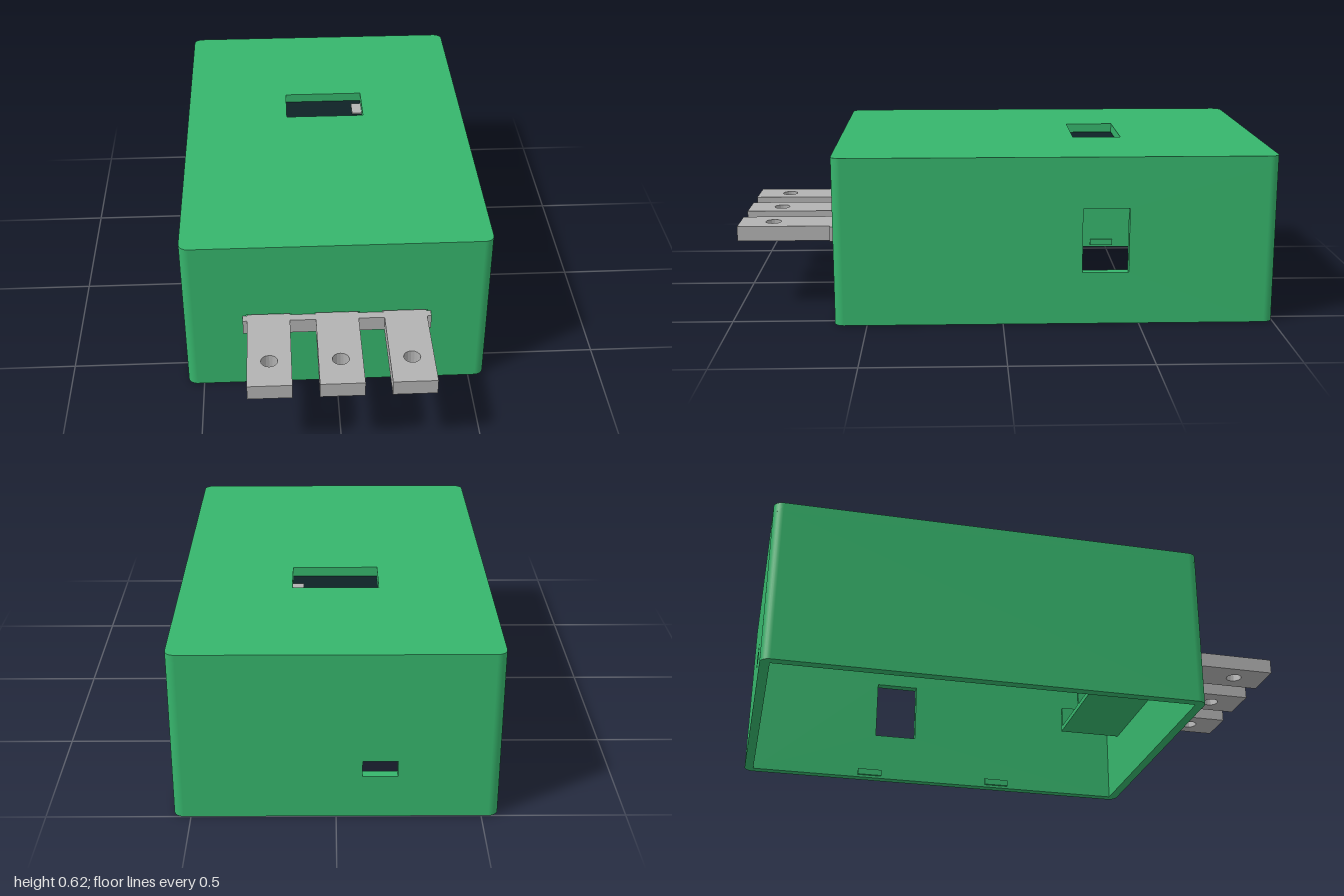
import * as THREE from 'three';

const green = new THREE.MeshStandardMaterial({ name: 'green case', color: 0x36b56c });
const grey = new THREE.MeshStandardMaterial({ name: 'grey terminal', color: 0xb2b2b2 });
const dark = new THREE.MeshStandardMaterial({ name: 'dark display', color: 0x0e2226 });

// Case extents and wall thickness
const X = 0.56, BACK = -1, FRONT = 0.62, H = 0.625, T = 0.035;
const roofY = H - T;

function rect(Type, x0, x1, y0, y1) {
  const p = new Type();
  p.moveTo(x0, y0);
  p.lineTo(x1, y0);
  p.lineTo(x1, y1);
  p.lineTo(x0, y1);
  p.closePath();
  return p;
}

function extrude(shape, depth) {
  return new THREE.ExtrudeGeometry(shape, { depth, bevelEnabled: false, curveSegments: 8 });
}

// Wall panel with rectangular openings, each [x0, x1, y0, y1]
function panel(x0, x1, openings) {
  const shape = rect(THREE.Shape, x0, x1, 0, roofY);
  openings.forEach(o => shape.holes.push(rect(THREE.Path, ...o)));
  return extrude(shape, T);
}

function add(parent, name, geometry, material, x = 0, y = 0, z = 0) {
  const mesh = new THREE.Mesh(geometry, material);
  mesh.name = name;
  mesh.position.set(x, y, z);
  parent.add(mesh);
  return mesh;
}

// Box given by its limits on each axis
function block(parent, name, material, x0, x1, y0, y1, z0, z1) {
  return add(parent, name, new THREE.BoxGeometry(x1 - x0, y1 - y0, z1 - z0), material,
    (x0 + x1) / 2, (y0 + y1) / 2, (z0 + z1) / 2);
}

function roundedRect(x0, x1, y0, y1, r) {
  const s = new THREE.Shape();
  s.absarc(x1 - r, y1 - r, r, 0, Math.PI / 2);
  s.absarc(x0 + r, y1 - r, r, Math.PI / 2, Math.PI);
  s.absarc(x0 + r, y0 + r, r, Math.PI, Math.PI * 1.5);
  s.absarc(x1 - r, y0 + r, r, Math.PI * 1.5, Math.PI * 2);
  s.closePath();
  return s;
}

export function createModel() {
  const model = new THREE.Group();
  model.name = 'sensorCase';
  const pitches = [-0.25, 0, 0.25];

  // Open-bottomed case
  const shell = new THREE.Group();
  shell.name = 'case';
  model.add(shell);
  const slots = pitches.map(c => [c - 0.0825, c + 0.0825, 0.25, 0.325]);
  add(shell, 'frontWall', panel(-X + T, X - T, slots), green, 0, 0, FRONT - T);
  add(shell, 'backWall', panel(-X + T, X - T, [[-0.21, -0.09, 0.16, 0.22]]), green, 0, 0, BACK);
  const sides = [[X - T, [[0.29, 0.46, 0.195, 0.435]]], [-X, []]];
  for (const [x, openings] of sides) {
    const geometry = panel(-(FRONT - T), -(BACK + T), openings).rotateY(Math.PI / 2);
    add(shell, 'sideWall', geometry, green, x);
  }
  [[1, 1], [1, -1], [-1, -1], [-1, 1]].forEach(([sx, sz], i) => {
    const geometry = new THREE.CylinderGeometry(T, T, roofY, 8, 1, false, i * Math.PI / 2, Math.PI / 2);
    add(shell, 'roundedCorner', geometry, green, sx * (X - T), roofY / 2, sz > 0 ? FRONT - T : BACK + T);
  });

  // Roof with the display window (drawn with y = -z)
  const roof = roundedRect(-X, X, -FRONT, -BACK, T);
  roof.holes.push(rect(THREE.Path, -0.158, 0.155, 0.285, 0.47));
  add(shell, 'roof', extrude(roof, T).rotateX(-Math.PI / 2), green, 0, roofY);

  // Lid catches near the bottom rim
  for (const s of [-1, 1]) {
    for (const z of [-0.48, 0.07]) {
      const x = s * (X - T - 0.004);
      block(shell, 'lidCatch', green, x - 0.005, x + 0.005, 0.01, 0.035, z - 0.05, z + 0.05);
    }
  }

  // Terminal tray behind the front wall
  const tray = new THREE.Group();
  tray.name = 'terminalTray';
  model.add(tray);
  block(tray, 'trayFloor', green, -0.37, 0.37, 0.23, 0.25, 0.33, FRONT - T);
  for (const x of [-0.37, -0.125, 0.125, 0.37]) {
    block(tray, 'trayDivider', green, x - 0.008, x + 0.008, 0.23, 0.335, 0.33, FRONT - T);
  }

  // Terminal strip with three drilled prongs
  const terminal = new THREE.Group();
  terminal.name = 'terminal';
  model.add(terminal);
  block(terminal, 'terminalBar', grey, -0.33, 0.33, 0.263, 0.32, FRONT, 0.652);
  for (const s of [-1, 1]) {
    block(terminal, 'barEnd', grey, s * 0.337 - 0.007, s * 0.337 + 0.007, 0.263, 0.32, FRONT, 0.65);
  }
  for (const c of pitches) {
    const shape = new THREE.Shape();
    const points = [[-0.078, -0.45], [-0.078, -1], [0.078, -1], [0.078, -0.45]];
    shape.setFromPoints(points.map(([x, y]) => new THREE.Vector2(x, y)));
    const hole = new THREE.Path();
    hole.absarc(0, -0.872, 0.03, 0, Math.PI * 2);
    shape.holes.push(hole);
    add(terminal, 'prong', extrude(shape, 0.057).rotateX(-Math.PI / 2), grey, c, 0.263);
  }

  // Display under the roof window
  const display = new THREE.Group();
  display.name = 'display';
  model.add(display);
  block(display, 'displayBoard', dark, -0.17, 0.17, 0.555, roofY - 0.002, -0.5, -0.19);
  block(display, 'displayContact', grey, 0.115, 0.155, 0.587, 0.593, -0.44, -0.36);

  return model;
}
